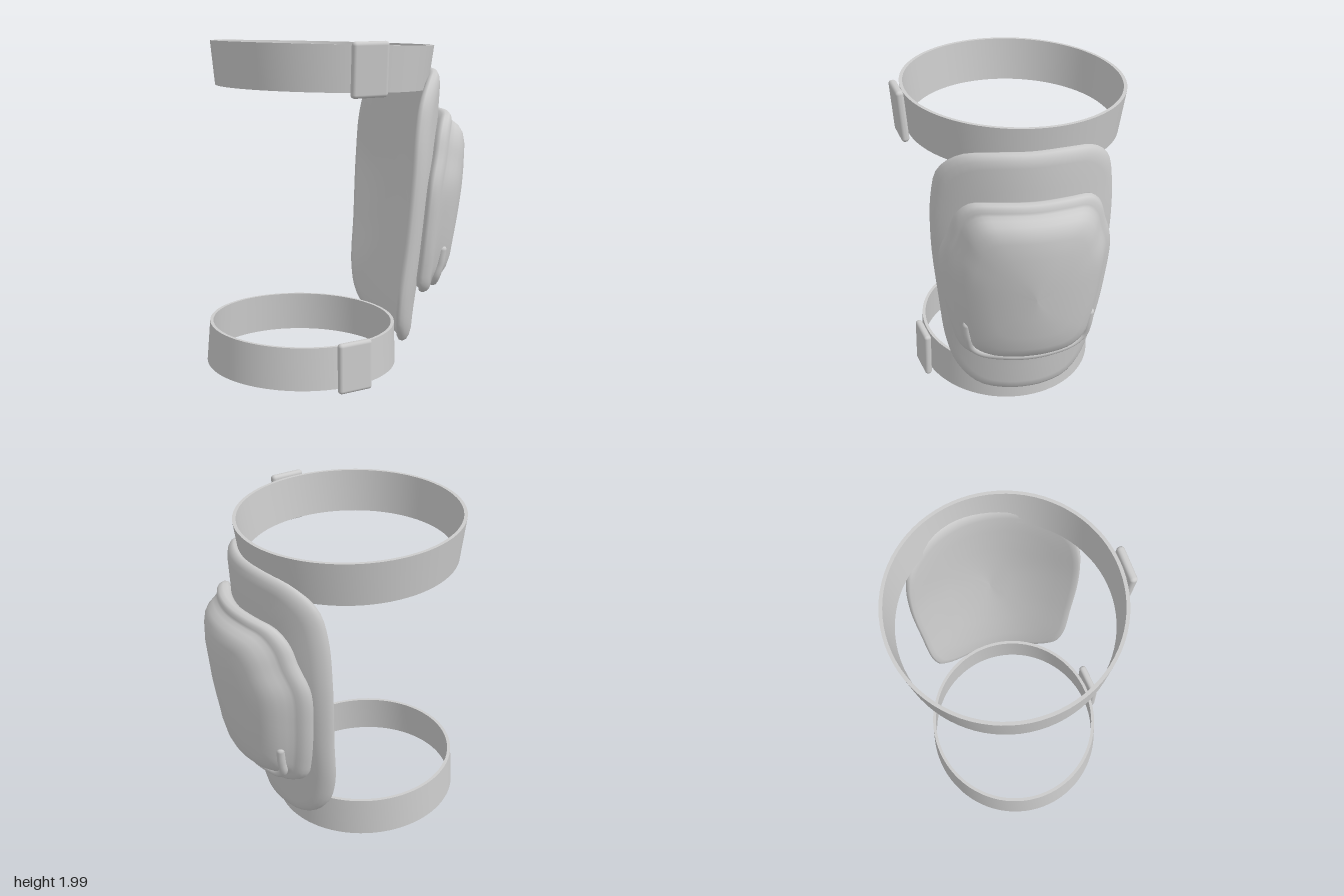
import * as THREE from 'three';
import { toCreasedNormals } from 'three/addons/utils/BufferGeometryUtils.js';
import { RoundedBoxGeometry } from 'three/addons/geometries/RoundedBoxGeometry.js';

const grey = new THREE.MeshStandardMaterial({ color: 0xcccccc });

// Inner centre line of the pad: height -> x
const spine = [[0.1, 0.365], [0.4, 0.395], [0.8, 0.46], [1.2, 0.51], [1.55, 0.525], [1.85, 0.54]];
const spineCurve = new THREE.SplineCurve(spine.map(([y, x]) => new THREE.Vector2(y, x)));
const spineTable = spineCurve.getPoints(100);
function spineX(y) {
  let i = 1;
  while (i < 100 && spineTable[i].x < y) i++;
  const a = spineTable[i - 1], b = spineTable[i];
  return a.y + (b.y - a.y) * THREE.MathUtils.clamp((y - a.x) / (b.x - a.x), 0, 1);
}

// Wraps a point (z, y) at a given depth around the leg
const wrap = (z, y, depth) => new THREE.Vector3(spineX(y) + depth - 0.85 * z * z, y, z);

function mesh(name, geometry) {
  const m = new THREE.Mesh(geometry, grey);
  m.name = name;
  return m;
}

// Mirrored half outline, lofted through [scale, depth] rings from back to front
function wrappedSlab(half, rings) {
  const mirrored = half.slice(1, -1).reverse().map(([z, y]) => [-z, y]);
  const curve = new THREE.CatmullRomCurve3(
    [...half, ...mirrored].map(([z, y]) => new THREE.Vector3(z, y, 0)), true, 'centripetal');
  const n = 96;
  const outline = curve.getSpacedPoints(n).slice(0, n);
  const midY = (half[0][1] + half[half.length - 1][1]) / 2;
  const positions = [], index = [];
  rings.forEach(([scale, depth], i) => {
    for (let j = 0; j < n; j++) {
      const p = outline[j];
      positions.push(...wrap(p.x * scale, midY + (p.y - midY) * scale, depth).toArray());
      if (i === rings.length - 1) continue;
      const a = i * n + j, b = i * n + (j + 1) % n;
      index.push(a, b, b + n, a, b + n, a + n);
    }
  });
  const g = new THREE.BufferGeometry();
  g.setAttribute('position', new THREE.Float32BufferAttribute(positions, 3));
  g.setIndex(index);
  g.computeVertexNormals();
  return g;
}

// Slightly conical elastic band
function strap(name, bottomR, topR, height, zScale) {
  const h = height / 2, t = 0.02;
  const profile = [[bottomR, -h], [topR, h], [topR - t, h], [bottomR - t, -h], [bottomR, -h]]
    .map(([r, y]) => new THREE.Vector2(r, y));
  const g = new THREE.LatheGeometry(profile, 80);
  g.scale(1, 1, zScale);
  return mesh(name, toCreasedNormals(g, 0.6));
}

function buckle(name) {
  return mesh(name, new RoundedBoxGeometry(0.215, 0.3, 0.045, 4, 0.02));
}

export function createModel() {
  const group = new THREE.Group();
  group.name = 'kneePad';

  // Soft backing pad
  const padHalf = [[0, 1.815], [0.2, 1.81], [0.36, 1.775], [0.47, 1.67], [0.51, 1.5], [0.52, 1.2],
    [0.49, 0.8], [0.45, 0.45], [0.39, 0.27], [0.28, 0.165], [0.12, 0.137], [0, 0.135]];
  group.add(mesh('backingPad', wrappedSlab(padHalf, [
    [0, 0], [0.25, 0], [0.5, 0], [0.75, 0], [0.91, 0], [0.96, 0.008], [0.99, 0.025], [1, 0.048],
    [0.99, 0.07], [0.96, 0.087], [0.91, 0.095], [0.75, 0.095], [0.5, 0.095], [0.25, 0.095], [0, 0.095]])));

  // Hard cap with a rolled rim and raised dome
  const capHalf = [[0, 1.562], [0.2, 1.558], [0.33, 1.535], [0.4, 1.46], [0.44, 1.34], [0.49, 1.18],
    [0.475, 0.92], [0.43, 0.65], [0.39, 0.53], [0.3, 0.472], [0.12, 0.46], [0, 0.46]];
  group.add(mesh('hardCap', wrappedSlab(capHalf, [
    [0, 0.06], [0.5, 0.06], [0.9, 0.07], [0.95, 0.108], [0.985, 0.118], [1, 0.142],
    [0.988, 0.168], [0.96, 0.182], [0.925, 0.184], [0.9, 0.19], [0.87, 0.212], [0.83, 0.242],
    [0.77, 0.265], [0.68, 0.278], [0.5, 0.286], [0.25, 0.289], [0, 0.29]])));

  // Raised ridge along the lower edge of the cap
  const ridgeHalf = [[0.36, 0.75, 0.225], [0.35, 0.66, 0.225], [0.33, 0.575, 0.21],
    [0.27, 0.528, 0.195], [0.13, 0.517, 0.19]];
  const ridgePoints = [...ridgeHalf, [0, 0.515, 0.19],
    ...ridgeHalf.slice().reverse().map(([z, y, d]) => [-z, y, d])].map((p) => wrap(...p));
  const ridge = new THREE.Group();
  ridge.name = 'lowerRidge';
  ridge.add(mesh('ridgeBar', new THREE.TubeGeometry(
    new THREE.CatmullRomCurve3(ridgePoints), 80, 0.026, 12)));
  for (const p of [ridgePoints[0], ridgePoints[ridgePoints.length - 1]]) {
    const end = mesh('ridgeEnd', new THREE.SphereGeometry(0.026, 12, 10));
    end.position.copy(p);
    ridge.add(end);
  }
  group.add(ridge);

  // Thigh strap and buckle
  const upper = strap('upperStrap', 0.63, 0.66, 0.255, 0.975);
  upper.position.set(-0.068, 1.838, -0.022);
  upper.rotation.set(-0.022, 0, -0.03);
  const upperBuckle = buckle('upperBuckle');
  upperBuckle.position.set(0.005, 1.848, 0.632);
  upperBuckle.rotation.set(0.07, 0.13, 0);

  // Calf strap and buckle
  const lower = strap('lowerStrap', 0.585, 0.57, 0.25, 0.955);
  lower.position.set(-0.211, 0.153, 0.008);
  lower.rotation.set(-0.012, 0, -0.032);
  const lowerBuckle = buckle('lowerBuckle');
  lowerBuckle.position.set(-0.05, 0.16, 0.568);
  lowerBuckle.rotation.set(-0.02, 0.2, 0);

  group.add(upper, upperBuckle, lower, lowerBuckle);
  return group;
}
